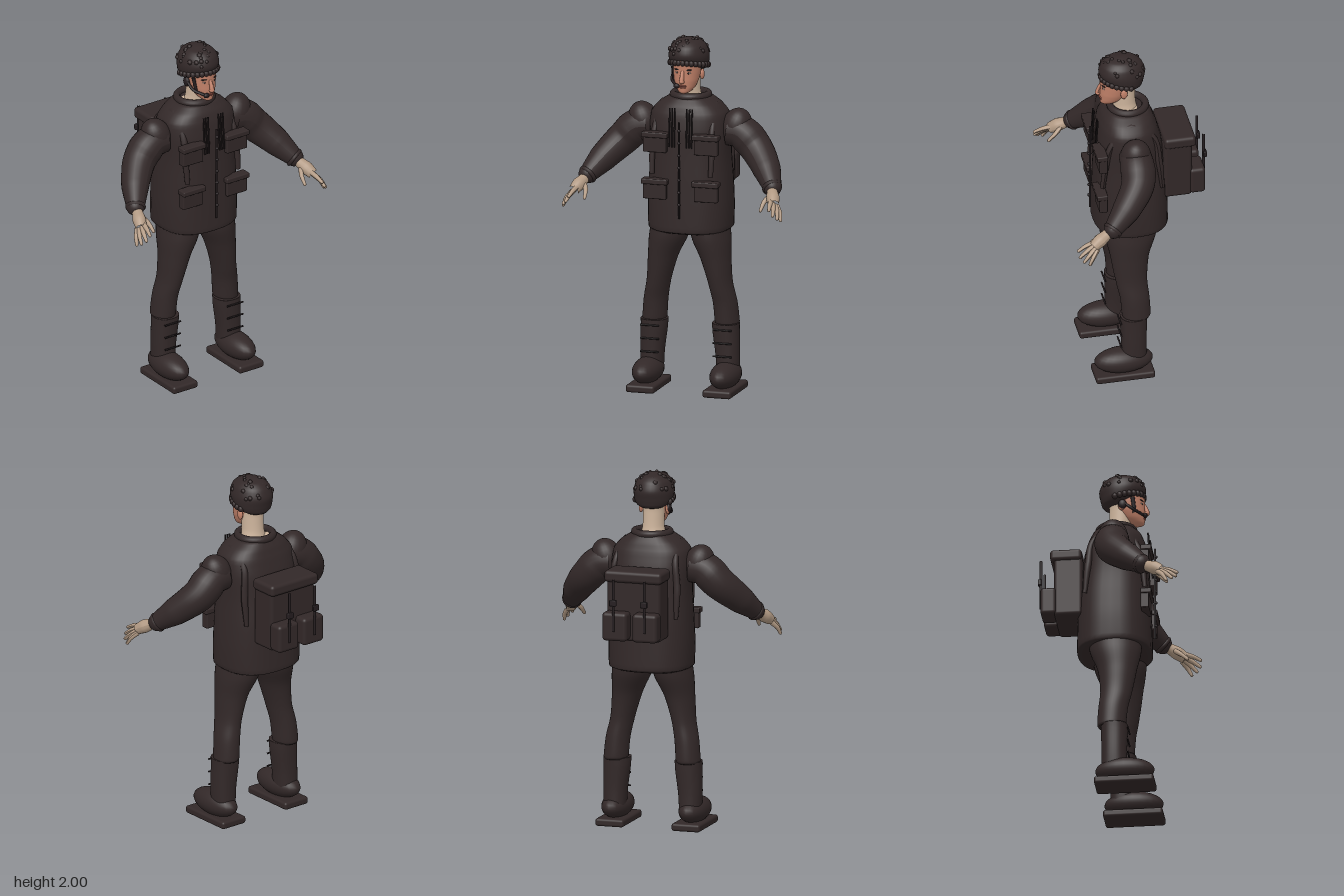
import * as THREE from 'three';
import { RoundedBoxGeometry } from 'three/addons/geometries/RoundedBoxGeometry.js';

const V = (x, y, z) => new THREE.Vector3(x, y, z);
const paint = (name, color) => {
  const m = new THREE.MeshStandardMaterial({ color });
  m.name = name;
  return m;
};

// Closed body through rings [y, centreX, centreZ, radiusX, radiusZ]
function loft(rings, power = 2, steps = 32, sides = 36) {
  const centre = new THREE.CatmullRomCurve3(rings.map(r => V(r[1], r[0], r[2])));
  const size = new THREE.CatmullRomCurve3(rings.map(r => V(r[3], r[4], 0)));
  const pos = [], idx = [];
  const bend = v => Math.sign(v) * Math.pow(Math.abs(v), 2 / power);
  for (let i = 0; i <= steps; i++) {
    const c = centre.getPoint(i / steps), r = size.getPoint(i / steps);
    for (let j = 0; j < sides; j++) {
      const a = j / sides * Math.PI * 2;
      pos.push(c.x + r.x * bend(Math.cos(a)), c.y, c.z + r.y * bend(Math.sin(a)));
      if (i < steps) {
        const k = (j + 1) % sides, p = i * sides, q = p + sides;
        idx.push(p + j, q + j, p + k, p + k, q + j, q + k);
      }
    }
  }
  const bottom = pos.length / 3;
  for (const t of [0, 1]) pos.push(...centre.getPoint(t).toArray());
  for (let j = 0; j < sides; j++) {
    const k = (j + 1) % sides, top = steps * sides;
    idx.push(bottom, j, k, bottom + 1, top + k, top + j);
  }
  const g = new THREE.BufferGeometry();
  g.setAttribute('position', new THREE.Float32BufferAttribute(pos, 3));
  g.setIndex(idx);
  g.computeVertexNormals();
  return g;
}

// Tube whose radius follows the list of radii
function limb(points, radii, steps = 24, sides = 20) {
  const path = new THREE.CatmullRomCurve3(points);
  const g = new THREE.TubeGeometry(path, steps, 1, sides, false);
  const p = g.attributes.position, v = V(0, 0, 0);
  for (let i = 0; i <= steps; i++) {
    const c = path.getPointAt(i / steps);
    const f = i / steps * (radii.length - 1), n = Math.min(Math.floor(f), radii.length - 2);
    const r = THREE.MathUtils.lerp(radii[n], radii[n + 1], f - n);
    for (let j = 0; j <= sides; j++) {
      const k = i * (sides + 1) + j;
      v.fromBufferAttribute(p, k).sub(c).multiplyScalar(r).add(c);
      p.setXYZ(k, v.x, v.y, v.z);
    }
  }
  g.computeVertexNormals();
  return g;
}

export function createModel() {
  const model = new THREE.Group();
  const cloth = paint('dark cloth', 0x322828), trim = paint('dark trim', 0x241d1f);
  const face = paint('face skin', 0xc08068), skin = paint('neck skin', 0xcdb49c);
  const hand = paint('hand skin', 0xb29a84), lip = paint('lips', 0x9c5548);
  const eyeWhite = paint('eye white', 0xcfc0b4);

  const add = (name, geo, mat, x = 0, y = 0, z = 0) => {
    const m = new THREE.Mesh(geo, mat);
    m.name = name;
    m.position.set(x, y, z);
    model.add(m);
    return m;
  };
  const ball = (name, mat, x, y, z, rx, ry = rx, rz = rx, n = 24) => {
    const m = add(name, new THREE.SphereGeometry(1, n, Math.ceil(n * 0.7)), mat, x, y, z);
    m.scale.set(rx, ry, rz);
    return m;
  };
  const box = (name, mat, x0, x1, y0, y1, z0, z1, r = 0.006) =>
    add(name, new RoundedBoxGeometry(x1 - x0, y1 - y0, z1 - z0, 3, r), mat,
      (x0 + x1) / 2, (y0 + y1) / 2, (z0 + z1) / 2);
  const rod = (name, mat, a, b, r) => add(name, limb([a, b], [r, r], 2, 8), mat);

  // Jacket and collar
  add('jacket', loft([
    [0.9, 0, 0, 0.19, 0.17], [0.92, 0, 0, 0.232, 0.208], [1.05, 0, 0, 0.236, 0.205],
    [1.2, 0, 0, 0.23, 0.2], [1.35, 0, 0.005, 0.222, 0.188], [1.48, 0, 0.01, 0.225, 0.178],
    [1.57, 0, 0.015, 0.215, 0.158], [1.62, 0, 0.015, 0.175, 0.138], [1.66, 0, 0.01, 0.115, 0.11]], 2.5), cloth);
  const collar = add('collar', new THREE.TorusGeometry(0.098, 0.02, 12, 40), cloth, 0, 1.665, 0.008);
  collar.rotation.x = Math.PI / 2;
  collar.scale.z = 1.1;
  ball('shoulderSkin', skin, 0, 1.63, -0.01, 0.142, 0.04, 0.045);

  // Neck and head
  add('neck', loft([[1.62, 0, 0.02, 0.078, 0.07], [1.7, 0, 0.03, 0.06, 0.064],
    [1.78, 0, 0.035, 0.06, 0.066], [1.88, 0, 0.04, 0.07, 0.08]]), skin);
  add('face', loft([
    [1.695, 0, 0.13, 0.015, 0.022], [1.705, 0, 0.118, 0.034, 0.046], [1.73, 0, 0.1, 0.054, 0.066],
    [1.77, 0, 0.085, 0.069, 0.082], [1.82, 0, 0.075, 0.076, 0.09], [1.88, 0, 0.07, 0.078, 0.095],
    [1.93, 0, 0.06, 0.06, 0.07]]), face);
  add('nose', limb([V(0, 1.825, 0.16), V(0, 1.79, 0.175), V(0, 1.768, 0.18)], [0.009, 0.011, 0.014], 10, 12), face);
  ball('noseTip', face, 0, 1.768, 0.178, 0.016, 0.012, 0.014, 14);
  ball('upperLip', lip, 0, 1.742, 0.164, 0.024, 0.005, 0.008, 14);
  ball('lowerLip', lip, 0, 1.733, 0.161, 0.02, 0.006, 0.009, 14);
  for (const s of [1, -1]) {
    ball('ear', face, s * 0.078, 1.79, 0.045, 0.012, 0.03, 0.02, 14);
    ball('eye', eyeWhite, s * 0.031, 1.814, 0.15, 0.014, 0.006, 0.007, 14);
    ball('iris', trim, s * 0.031, 1.814, 0.155, 0.006, 0.006, 0.004, 10);
    const brow = ball('eyebrow', trim, s * 0.033, 1.832, 0.153, 0.02, 0.004, 0.007, 12);
    brow.rotation.y = s * 0.3;
  }

  // Helmet, lumpy rim and leaf tufts
  add('helmet', loft([
    [1.805, 0, 0.0, 0.06, 0.06], [1.82, 0, 0.01, 0.088, 0.082], [1.85, 0, 0.03, 0.107, 0.11],
    [1.9, 0, 0.042, 0.112, 0.13], [1.95, 0, 0.045, 0.097, 0.115], [1.98, 0, 0.045, 0.066, 0.08],
    [1.995, 0, 0.045, 0.015, 0.02]]), cloth);
  for (let i = 0; i < 17; i++) {
    const a = Math.PI * (-0.08 + 1.16 * i / 16), f = Math.sin(a);
    ball('rimTuft', cloth, 0.104 * Math.cos(a), 1.845 + 0.025 * f, 0.04 + 0.12 * f, 0.016, 0.018, 0.016, 10);
  }
  let seed = 7;
  const rand = () => (seed = (seed * 16807) % 2147483647) / 2147483647;
  for (let i = 0; i < 34; i++) {
    const a = rand() * Math.PI * 2, e = 0.05 + rand() * 1.2, r = 0.008 + rand() * 0.007;
    ball('leafTuft', cloth, 0.11 * Math.cos(e) * Math.cos(a), 1.895 + 0.098 * Math.sin(e),
      0.045 + 0.128 * Math.cos(e) * Math.sin(a), r, r, r, 8);
  }
  // Headset boom
  ball('earpiece', trim, -0.082, 1.795, 0.05, 0.015, 0.028, 0.024, 14);
  add('microphoneBoom', limb([V(-0.084, 1.8, 0.06), V(-0.078, 1.765, 0.11), V(-0.03, 1.74, 0.172)],
    [0.008, 0.008, 0.008], 16, 8), trim);
  ball('microphone', trim, -0.032, 1.742, 0.172, 0.018, 0.014, 0.012, 12);
  rod('chinStrap', trim, V(-0.073, 1.84, 0.105), V(-0.058, 1.75, 0.115), 0.012);

  for (const s of [1, -1]) {
    const P = (x, y, z) => V(s * x, y, z);
    const sideBox = (name, mat, x0, x1, ...rest) =>
      box(name, mat, Math.min(s * x0, s * x1), Math.max(s * x0, s * x1), ...rest);

    // Sleeve and cuff
    add('sleeve', limb([P(0.23, 1.48, 0.02), P(0.3, 1.47, 0.02), P(0.38, 1.395, 0.03),
      P(0.46, 1.31, 0.1), P(0.535, 1.215, 0.205)], [0.088, 0.098, 0.089, 0.077, 0.052], 32, 24), cloth);
    const shoulder = ball('shoulder', cloth, s * 0.268, 1.5, 0.02, 0.085, 0.108, 0.085);
    shoulder.rotation.z = s * -0.35;
    ball('sleeveEnd', cloth, s * 0.535, 1.215, 0.205, 0.052);
    const cuff = add('cuff', new THREE.TorusGeometry(0.044, 0.013, 10, 24), cloth, s * 0.535, 1.213, 0.207);
    cuff.quaternion.setFromUnitVectors(V(0, 0, 1), P(0.075, -0.09, 0.11).normalize());

    // Hand with four fingers and a thumb
    add('palm', limb([P(0.53, 1.22, 0.2), P(0.55, 1.19, 0.25), P(0.568, 1.165, 0.295), P(0.58, 1.145, 0.325)],
      [0.03, 0.03, 0.038, 0.03], 14, 16), hand);
    for (const [a, b, c] of [
      [P(0.562, 1.165, 0.315), P(0.572, 1.15, 0.37), P(0.58, 1.13, 0.41)],
      [P(0.575, 1.15, 0.325), P(0.592, 1.125, 0.37), P(0.6, 1.1, 0.405)],
      [P(0.587, 1.14, 0.318), P(0.61, 1.11, 0.355), P(0.62, 1.08, 0.385)],
      [P(0.592, 1.135, 0.305), P(0.62, 1.1, 0.335), P(0.63, 1.065, 0.355)],
      [P(0.545, 1.185, 0.26), P(0.518, 1.15, 0.3), P(0.51, 1.11, 0.345)]]) {
      add('finger', limb([a, b, c], [0.015, 0.013, 0.009], 10, 10), hand);
      ball('fingertip', hand, c.x, c.y, c.z, 0.009, 0.009, 0.009, 10);
    }

    // Trouser leg, boot shaft, foot and sole
    add('trouserLeg', loft([
      [0.375, s * 0.212, 0.005, 0.06, 0.072], [0.39, s * 0.21, 0.005, 0.068, 0.08], [0.5, s * 0.2, 0.012, 0.067, 0.082],
      [0.6, s * 0.18, 0.026, 0.066, 0.088], [0.75, s * 0.152, 0.03, 0.083, 0.108],
      [0.87, s * 0.122, 0.018, 0.108, 0.142], [0.96, s * 0.11, 0.01, 0.108, 0.15]]), cloth);
    add('bootShaft', loft([
      [0.1, s * 0.22, 0.02, 0.062, 0.072], [0.2, s * 0.218, 0.02, 0.066, 0.07],
      [0.34, s * 0.208, 0.02, 0.074, 0.074], [0.385, s * 0.207, 0.02, 0.075, 0.075]], 2.3), cloth);
    ball('foot', cloth, s * 0.225, 0.1, 0.08, 0.08, 0.073, 0.165);
    sideBox('sole', cloth, 0.14, 0.305, 0, 0.043, -0.085, 0.248, 0.014);
    for (const y of [0.205, 0.28, 0.355])
      rod('bootLace', trim, P(0.155, y, 0.099), P(0.265, y, 0.099), 0.005);

    // Jacket pockets
    for (const [bottom, top] of [[1.365, 1.455], [1.1, 1.19]]) {
      sideBox('pocket', cloth, 0.08, 0.215, bottom, top, 0.165, 0.212);
      sideBox('pocketFlap', cloth, 0.07, 0.222, top - 0.005, top + 0.025, 0.165, 0.226);
    }
    // Chest pens
    for (const x of [0.035, 0.05, 0.065])
      rod('chestCord', trim, P(x, 1.4, 0.204), P(x, 1.62, 0.19), 0.0045);

    // Pack shoulder strap
    add('shoulderStrap', limb([P(0.17, 1.24, 0.186), P(0.172, 1.36, 0.172), P(0.165, 1.5, 0.14),
      P(0.155, 1.62, 0.03), P(0.17, 1.54, -0.1), P(0.19, 1.38, -0.13), P(0.19, 1.21, -0.148)],
      [0.014, 0.018, 0.018, 0.014, 0.018, 0.02, 0.012], 40, 10), cloth);

    // Pack pocket with its strap and buckle
    sideBox('packPocket', cloth, 0.016, 0.16, 1.115, 1.275, -0.4, -0.31, 0.02);
    rod('packStrap', trim, P(0.09, 1.17, -0.402), P(0.09, 1.465, -0.402), 0.008);
    sideBox('packBuckle', trim, 0.07, 0.11, 1.315, 1.35, -0.418, -0.398, 0.005);
  }

  // Front zip
  rod('zip', trim, V(0, 1, 0.222), V(0, 1.55, 0.222), 0.006);
  for (let i = 0; i < 7; i++) ball('zipStud', trim, 0, 1.08 + i * 0.07, 0.228, 0.009, 0.009, 0.009, 8);

  // Backpack
  box('backpack', cloth, -0.155, 0.155, 1.105, 1.46, -0.325, -0.165, 0.02);
  box('packLid', cloth, -0.167, 0.167, 1.435, 1.5, -0.345, -0.168, 0.02);

  return model;
}
